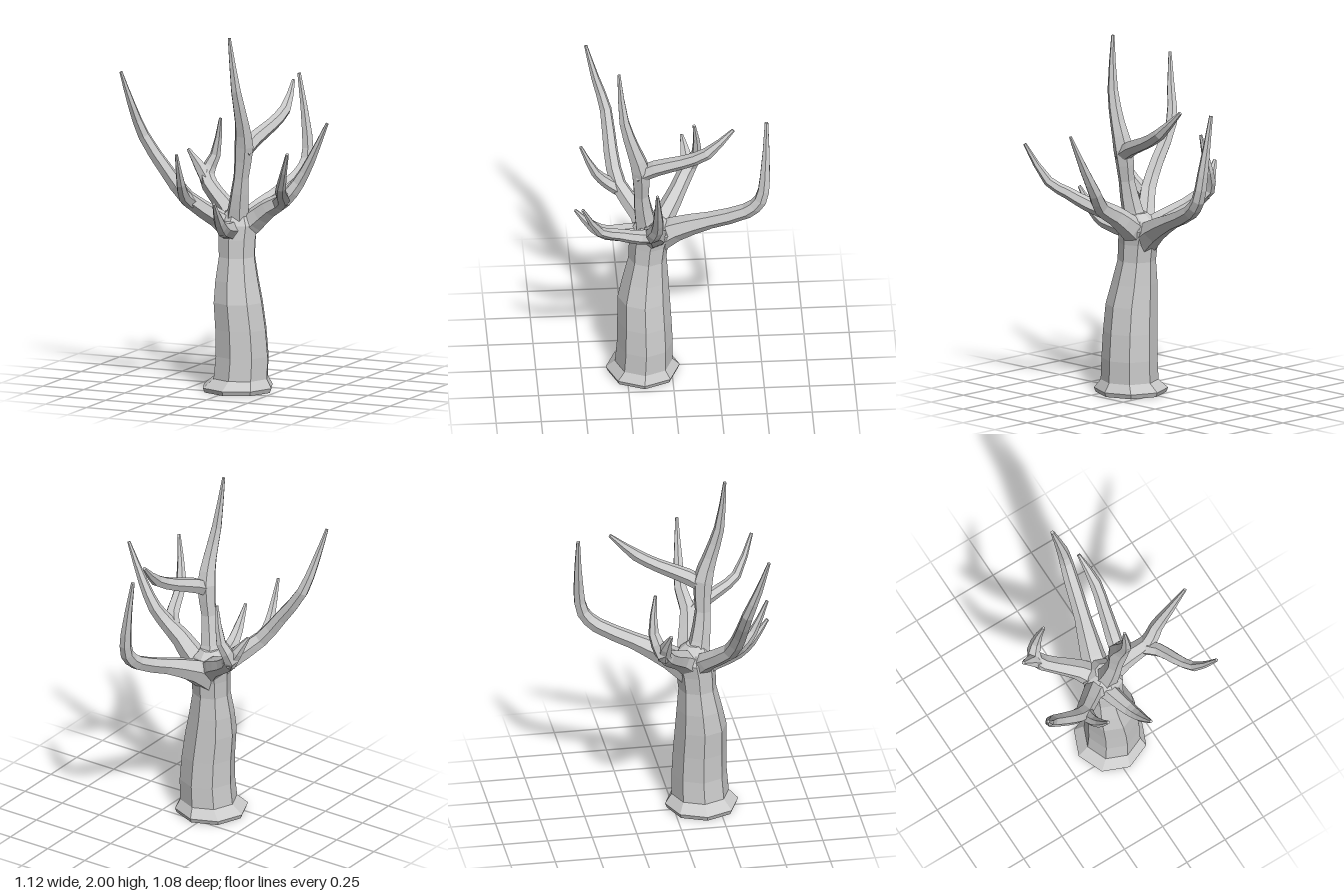
import * as THREE from 'three';

const material = new THREE.MeshStandardMaterial({ color: 0xcccccc, flatShading: true });

// Lofts rings along stations [x, y, z, radius]; level keeps the rings horizontal
function limb(name, stations, { sides = 6, steps = 2, level = false } = {}) {
  const curve = new THREE.CatmullRomCurve3(stations.map(([x, y, z]) => new THREE.Vector3(x, y, z)), false, 'centripetal');
  const spans = stations.length - 1, count = spans * steps;
  const pos = [], index = [];
  const u = new THREE.Vector3(1, 0, 0), v = new THREE.Vector3(), t = new THREE.Vector3();
  const first = curve.getTangent(0);
  if (!level && Math.abs(first.x) > 0.8) u.set(0, 1, 0);

  for (let i = 0; i <= count; i++) {
    const k = Math.min(Math.floor(i / steps), spans - 1), f = i / steps - k;
    const r = THREE.MathUtils.lerp(stations[k][3], stations[k + 1][3], f);
    const p = curve.getPoint(i / count);
    if (level) t.set(0, 1, 0); else curve.getTangent(i / count, t);
    u.addScaledVector(t, -u.dot(t)).normalize();
    v.crossVectors(t, u);
    for (let j = 0; j < sides; j++) {
      const a = j / sides * Math.PI * 2;
      const q = p.clone().addScaledVector(u, r * Math.cos(a)).addScaledVector(v, r * Math.sin(a));
      pos.push(q.x, q.y, q.z);
    }
  }
  for (let i = 0; i < count; i++) {
    for (let j = 0; j < sides; j++) {
      const n = (j + 1) % sides, a = i * sides + j, b = i * sides + n;
      index.push(a, b, b + sides, a, b + sides, a + sides);
    }
  }
  // End caps
  const last = count * sides;
  for (let j = 1; j < sides - 1; j++) {
    index.push(0, j + 1, j, last, last + j, last + j + 1);
  }
  const geometry = new THREE.BufferGeometry();
  geometry.setAttribute('position', new THREE.Float32BufferAttribute(pos, 3));
  geometry.setIndex(index);
  geometry.computeVertexNormals();
  const mesh = new THREE.Mesh(geometry, material);
  mesh.name = name;
  return mesh;
}

export function createModel() {
  const tree = new THREE.Group();
  tree.name = 'bareTree';

  // Trunk with flared foot and rounded crown
  tree.add(limb('trunk', [
    [0.03, 0, 0.16, 0.195], [0.03, 0.025, 0.16, 0.205], [0.046, 0.075, 0.155, 0.16],
    [0.052, 0.2, 0.15, 0.155], [0.045, 0.35, 0.152, 0.15], [0.03, 0.5, 0.155, 0.144],
    [0.018, 0.62, 0.145, 0.127], [0.012, 0.75, 0.133, 0.106], [0.01, 0.85, 0.125, 0.11],
    [0.01, 0.93, 0.11, 0.118], [0.01, 0.985, 0.11, 0.085], [0.015, 1.02, 0.12, 0.05],
  ], { sides: 8, steps: 1, level: true }));

  // Upright leader and its backward fork
  tree.add(limb('leader', [
    [0.01, 0.9, 0.12, 0.08], [0.03, 1.03, 0.15, 0.06], [0.055, 1.2, 0.17, 0.045],
    [0.075, 1.38, 0.175, 0.057], [0.08, 1.52, 0.215, 0.042], [0.068, 1.7, 0.265, 0.03], [0.04, 2, 0.292, 0.009],
  ]));
  tree.add(limb('leaderFork', [
    [0.075, 1.34, 0.19, 0.045], [0.095, 1.4, 0.09, 0.045], [0.13, 1.46, -0.06, 0.038],
    [0.155, 1.53, -0.19, 0.034], [0.138, 1.67, -0.335, 0.01],
  ]));

  // Left branch with two prongs
  tree.add(limb('leftBranch', [
    [0.0, 0.87, 0.12, 0.08], [0.1, 0.95, 0.1, 0.07], [0.2, 1.03, 0.115, 0.056],
    [0.3, 1.09, 0.125, 0.046], [0.37, 1.18, 0.1, 0.038], [0.45, 1.32, 0.1, 0.027], [0.552, 1.53, 0.11, 0.009],
  ]));
  tree.add(limb('leftFrontProng', [
    [0.26, 1.06, 0.12, 0.045], [0.325, 1.1, 0.2, 0.04], [0.365, 1.15, 0.31, 0.034],
    [0.415, 1.21, 0.42, 0.028], [0.5, 1.42, 0.52, 0.009],
  ]));

  // Right front branch and prong
  tree.add(limb('rightBranch', [
    [0.01, 0.87, 0.12, 0.075], [-0.09, 0.96, 0.17, 0.055], [-0.22, 1.08, 0.28, 0.046],
    [-0.33, 1.23, 0.315, 0.041], [-0.46, 1.42, 0.335, 0.034], [-0.51, 1.6, 0.39, 0.023], [-0.552, 1.79, 0.44, 0.009],
  ]));
  tree.add(limb('rightProng', [
    [-0.2, 1.05, 0.26, 0.04], [-0.212, 1.1, 0.34, 0.036], [-0.2, 1.18, 0.41, 0.026], [-0.19, 1.36, 0.49, 0.009],
  ]));

  // Short front branch
  tree.add(limb('frontBranch', [
    [-0.01, 0.88, 0.12, 0.07], [0.005, 0.91, 0.23, 0.052], [0.035, 0.935, 0.36, 0.041],
    [0.048, 0.99, 0.44, 0.031], [0.06, 1.11, 0.535, 0.009],
  ]));

  // Right rear branch with a stub
  tree.add(limb('rightRearBranch', [
    [0.01, 0.88, 0.11, 0.08], [-0.09, 0.98, 0.02, 0.058], [-0.2, 1.05, -0.05, 0.048],
    [-0.29, 1.14, -0.115, 0.045], [-0.255, 1.25, -0.158, 0.03], [-0.215, 1.46, -0.14, 0.009],
  ]));
  tree.add(limb('rightRearStub', [
    [-0.27, 1.1, -0.1, 0.042], [-0.325, 1.19, -0.1, 0.033], [-0.385, 1.285, -0.08, 0.01],
  ]));

  // Long rear branch
  tree.add(limb('rearBranch', [
    [0.0, 0.84, 0.12, 0.09], [0.03, 0.94, -0.02, 0.07], [0.085, 1.03, -0.21, 0.048],
    [0.135, 1.12, -0.41, 0.043], [0.15, 1.2, -0.485, 0.038], [0.14, 1.34, -0.51, 0.032], [0.085, 1.675, -0.522, 0.011],
  ]));

  return tree;
}
